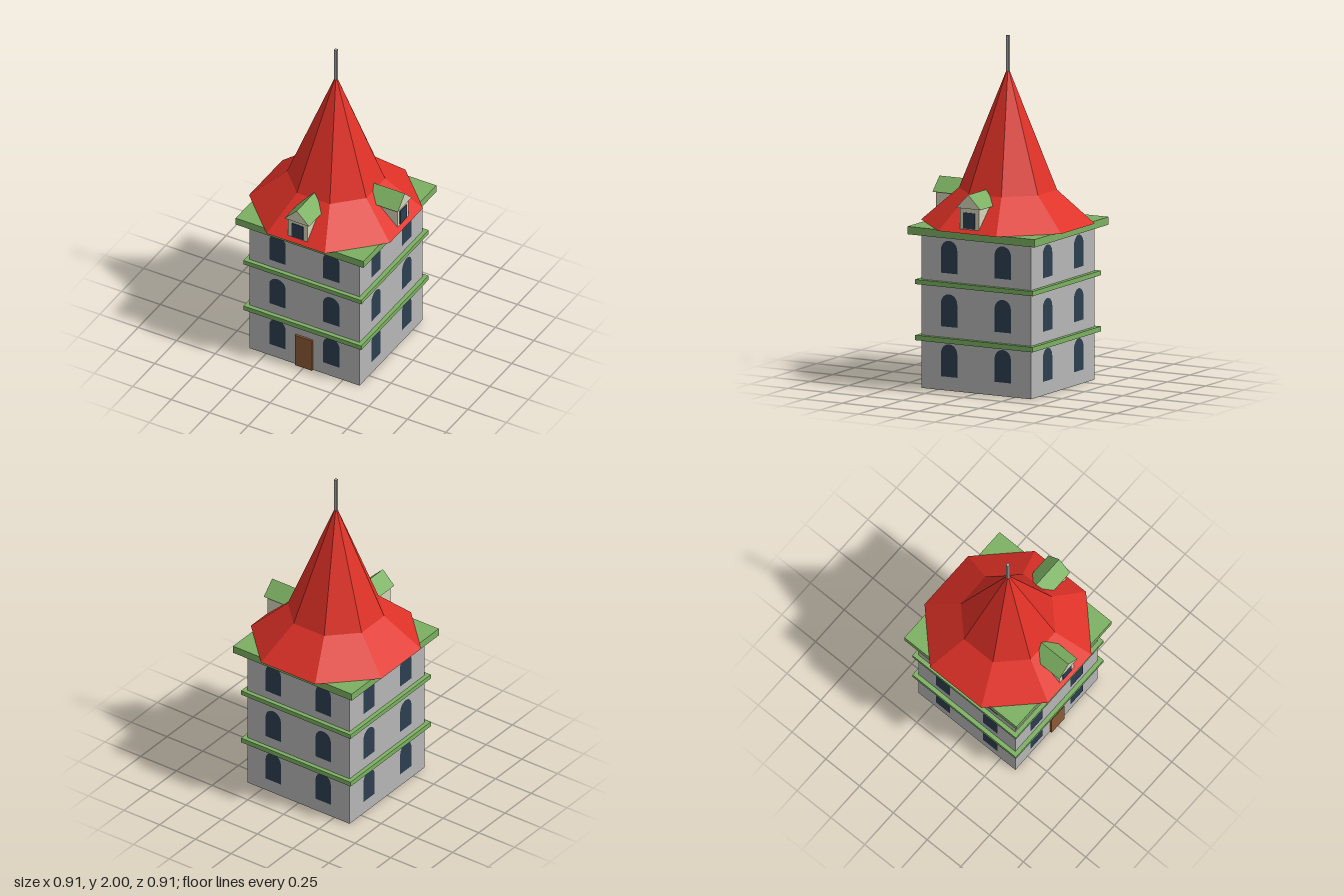
import * as THREE from 'three';

const mat = (name, color, extra = {}) => {
  const m = new THREE.MeshStandardMaterial({ color, flatShading: true, ...extra });
  m.name = name;
  return m;
};

export function createModel() {
  const wallGrey = mat('wall grey', 0xb6b6b6, { side: THREE.DoubleSide });
  const trimGreen = mat('trim green', 0x7cb062);
  const roofRed = mat('roof red', 0xdf3127);
  const glassBlue = mat('window blue', 0x2c3e50);
  const doorBrown = mat('door brown', 0x8b5a36);
  const cream = mat('dormer cream', 0xd6d3b8);
  const poleGrey = mat('pole grey', 0xa8a8a8);

  const model = new THREE.Group();
  model.name = 'tower';

  const add = (parent, name, geometry, material, x = 0, y = 0, z = 0) => {
    const mesh = new THREE.Mesh(geometry, material);
    mesh.name = name;
    mesh.position.set(x, y, z);
    parent.add(mesh);
    return mesh;
  };
  // Box given by its bottom and top heights
  const addBox = (parent, name, w, y0, y1, d, material, z = 0) =>
    add(parent, name, new THREE.BoxGeometry(w, y1 - y0, d), material, 0, (y0 + y1) / 2, z);

  // Hollow square walls, open at the bottom
  const half = 0.358;
  const wallGeo = new THREE.CylinderGeometry(half * Math.SQRT2, half * Math.SQRT2, 0.9, 4, 1, true);
  wallGeo.rotateY(Math.PI / 4);
  add(model, 'walls', wallGeo, wallGrey, 0, 0.45, 0);

  // Floor bands and the eaves slab
  addBox(model, 'lowerBand', 0.766, 0.275, 0.304, 0.766, trimGreen);
  addBox(model, 'upperBand', 0.766, 0.597, 0.624, 0.766, trimGreen);
  addBox(model, 'eavesSlab', 0.83, 0.885, 0.93, 0.83, trimGreen);

  // Arched windows: two on each storey of every side
  const r = 0.053;
  const arch = new THREE.Shape();
  arch.moveTo(-r, 0);
  arch.lineTo(r, 0);
  arch.lineTo(r, 0.134);
  arch.absarc(0, 0.134, r, 0, Math.PI, false);
  arch.closePath();
  const archGeo = new THREE.ShapeGeometry(arch, 8);
  for (let side = 0; side < 4; side++) {
    const face = new THREE.Group();
    face.name = 'windowSide';
    face.rotation.y = side * Math.PI / 2;
    for (const y of [0.079, 0.366, 0.673]) {
      for (const x of [-0.175, 0.175]) add(face, 'window', archGeo, glassBlue, x, y, half + 0.002);
    }
    model.add(face);
  }

  // Front door
  addBox(model, 'door', 0.112, 0, 0.21, 0.012, doorBrown, half + 0.006);

  // Eight-sided flared roof with its spire
  const profile = [[0, 0.931], [0.4947, 0.931], [0.2793, 1.12], [0, 1.82]]
    .map(([x, y]) => new THREE.Vector2(x, y));
  add(model, 'roof', new THREE.LatheGeometry(profile, 8, Math.PI / 8), roofRed);
  addBox(model, 'pole', 0.017, 1.78, 2.0, 0.017, poleGrey);

  // Dormers on the front and the left side
  const gable = new THREE.Shape();
  gable.moveTo(-0.08, 1.073);
  gable.lineTo(0.08, 1.073);
  gable.lineTo(0, 1.153);
  gable.closePath();
  const gableGeo = new THREE.ExtrudeGeometry(gable, { depth: 0.247, bevelEnabled: false });
  for (const angle of [0, Math.PI / 2]) {
    const dormer = new THREE.Group();
    dormer.name = 'dormer';
    dormer.rotation.y = angle;
    addBox(dormer, 'dormerBody', 0.124, 0.95, 1.075, 0.237, cream, 0.3165);
    add(dormer, 'dormerRoof', gableGeo, [cream, trimGreen], 0, 0, 0.2);
    addBox(dormer, 'dormerWindow', 0.074, 0.957, 1.048, 0.006, glassBlue, 0.436);
    model.add(dormer);
  }
  return model;
}
